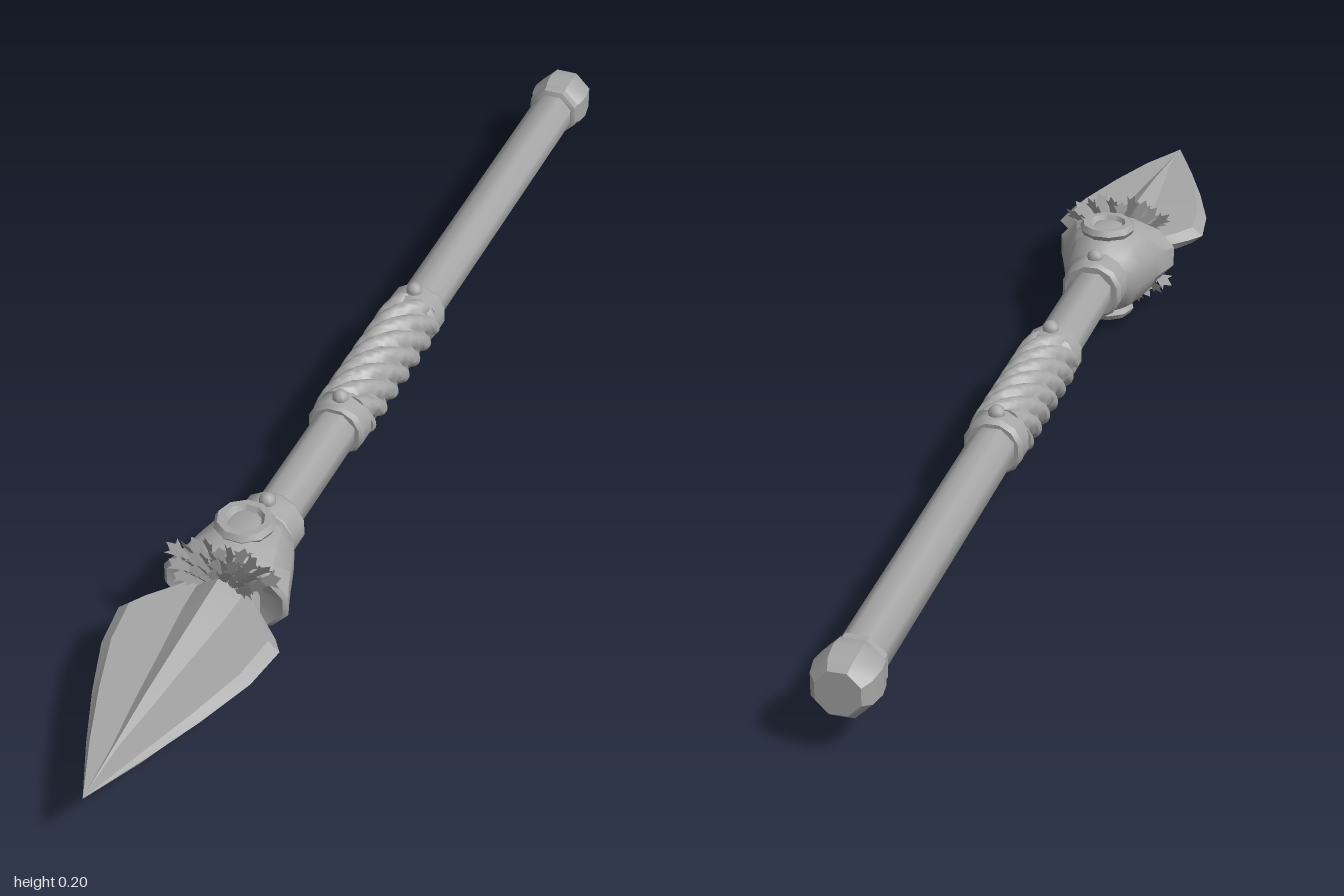
import * as THREE from 'three';
import { toCreasedNormals } from 'three/addons/utils/BufferGeometryUtils.js';

const AXIS = 0.105; // height of the shaft's centre line

// Skin a list of equal-length point rings, counterclockwise seen from +z, ordered along +z
function loft(rings, crease = 0.7) {
  const n = rings[0].length, pos = [], idx = [];
  rings.forEach(r => r.forEach(p => pos.push(...p)));
  for (let i = 0; i < rings.length - 1; i++) {
    for (let j = 0; j < n; j++) {
      const a = i * n + j, b = i * n + (j + 1) % n;
      idx.push(a, b, b + n, a, b + n, a + n);
    }
  }
  // end caps
  for (let j = 1; j < n - 1; j++) {
    const e = (rings.length - 1) * n;
    idx.push(0, j + 1, j, e, e + j, e + j + 1);
  }
  const g = new THREE.BufferGeometry();
  g.setAttribute('position', new THREE.Float32BufferAttribute(pos, 3));
  g.setIndex(idx);
  return toCreasedNormals(g, crease);
}

// Elliptical ring with n sides
function ring(z, rx, ry = rx, n = 8) {
  return Array.from({ length: n }, (_, j) => {
    const a = (j + 0.5) / n * Math.PI * 2;
    return [rx * Math.cos(a), ry * Math.sin(a), z];
  });
}

export function createModel() {
  const model = new THREE.Group();
  model.name = 'spear';
  const steel = new THREE.MeshStandardMaterial({ color: 0xa6a6a6 });
  const fur = new THREE.MeshStandardMaterial({ color: 0xa6a6a6, side: THREE.DoubleSide });
  steel.name = 'grey';
  fur.name = 'grey two-sided';

  const add = (name, geo, mat = steel) => {
    const m = new THREE.Mesh(geo, mat);
    m.name = name;
    m.position.y = AXIS;
    model.add(m);
    return m;
  };

  // Shaft and pommel
  add('shaft', loft([ring(-0.95, 0.038), ring(0.45, 0.038)], 0.9));
  add('pommel', loft([
    [-1, 0.036], [-0.985, 0.048], [-0.955, 0.053], [-0.93, 0.05], [-0.925, 0.046], [-0.912, 0.046], [-0.908, 0.038],
  ].map(([z, r]) => ring(z, r)), 0.6));

  // Collars with a rivet above and below
  const collar = (z0, z1, r) => {
    add('collar', loft([ring(z0, r - 0.006, r - 0.006, 12), ring(z0 + 0.008, r, r, 12),
      ring(z1 - 0.008, r, r, 12), ring(z1, r - 0.006, r - 0.006, 12)], 0.6));
    for (const s of [1, -1]) {
      const rivet = add('rivet', new THREE.SphereGeometry(0.014, 8, 6));
      rivet.position.set(0, AXIS + s * r, (z0 + z1) / 2);
    }
  };
  collar(-0.26, -0.208, 0.049);
  collar(0.055, 0.107, 0.049);
  collar(0.338, 0.395, 0.053);

  // Grip wrapped in slanting strips
  const wrap = [];
  for (let i = 0; i <= 48; i++) {
    const z = -0.22 + i / 48 * 0.29;
    wrap.push(Array.from({ length: 36 }, (_, j) => {
      const a = j / 36 * Math.PI * 2;
      const r = 0.038 + 0.014 * Math.abs(Math.sin(3 * a - 66 * z)) ** 0.7;
      return [r * Math.cos(a), r * Math.sin(a), z];
    }));
  }
  add('gripWrap', loft(wrap, 0.8));

  // Flared socket holding the blade
  add('socket', loft([
    [0.385, 0.048, 0.048], [0.4, 0.06, 0.062], [0.425, 0.07, 0.078], [0.47, 0.085, 0.079],
    [0.5, 0.096, 0.073], [0.522, 0.105, 0.066], [0.528, 0.098, 0.058], [0.515, 0.05, 0.03],
  ].map(([z, rx, ry]) => ring(z, rx, ry, 12)), 0.6));

  // Round eyelets above and below the socket
  for (const s of [1, -1]) {
    const eyelet = add('eyelet', toCreasedNormals(new THREE.TorusGeometry(0.037, 0.011, 6, 10), 0.6));
    eyelet.rotation.x = Math.PI / 2;
    eyelet.position.set(0, AXIS + s * 0.074, 0.45);
    const disc = add('eyeletDisc', new THREE.CylinderGeometry(0.036, 0.036, 0.012, 10));
    disc.position.set(0, AXIS + s * 0.068, 0.45);
  }

  // Ragged tuft: a narrow leaf with split tips, pointing along +y, length 1
  const half = [[0.06, 0], [0.1, 0.35], [0.24, 0.5], [0.13, 0.55], [0.16, 0.72], [0.3, 0.9], [0.14, 0.85]];
  const leaf = new THREE.Shape([...half, [0, 1], ...half.map(([x, y]) => [-x, y]).reverse()]
    .map(p => new THREE.Vector2(...p)));
  const leafGeo = new THREE.ShapeGeometry(leaf);
  const ruff = new THREE.Group();
  ruff.name = 'furRuff';
  model.add(ruff);
  for (const s of [1, -1]) {
    for (let layer = 0; layer < 3; layer++) {
      for (let i = 0; i < 10; i++) {
        const a = (-54 + 12 * i + (layer - 1) * 3) * Math.PI / 180;
        const reach = 0.094 + 0.022 * Math.sin(Math.abs(a) * 1.9) - layer * 0.016 - (i % 3) * 0.004;
        const spoke = new THREE.Group();
        spoke.position.set(0, AXIS, 0.527 + layer * 0.007);
        spoke.rotation.z = a + (s < 0 ? Math.PI : 0);
        const tuft = new THREE.Mesh(leafGeo, fur);
        tuft.name = 'tuft';
        tuft.position.y = 0.03;
        tuft.scale.set(0.05, reach - 0.03, 1);
        tuft.rotation.set(0.08 + layer * 0.17, (i % 2 ? 0.5 : -0.5), 0);
        spoke.add(tuft);
        ruff.add(spoke);
      }
    }
  }

  // Blade: z, half width, edge half thickness, spine half width, spine half height
  const blade = [
    [0.5, 0.045, 0.014, 0.03, 0.036], [0.55, 0.068, 0.015, 0.036, 0.04], [0.595, 0.112, 0.015, 0.034, 0.038],
    [0.62, 0.13, 0.015, 0.032, 0.036], [0.7, 0.119, 0.014, 0.024, 0.031], [0.8, 0.085, 0.012, 0.015, 0.024],
    [0.9, 0.045, 0.009, 0.004, 0.012], [1, 0.0005, 0.0005, 0.0001, 0.0005],
  ].map(([z, w, t, sw, sh]) => {
    const bevel = w * 0.86;
    const top = [[w, 0], [bevel, t], [sw, t], [0, sh], [-sw, t], [-bevel, t]];
    return [...top, ...top.map(([x, y]) => [-x, -y])].map(([x, y]) => [x, y, z]);
  });
  add('blade', loft(blade, 0.4));

  return model;
}
